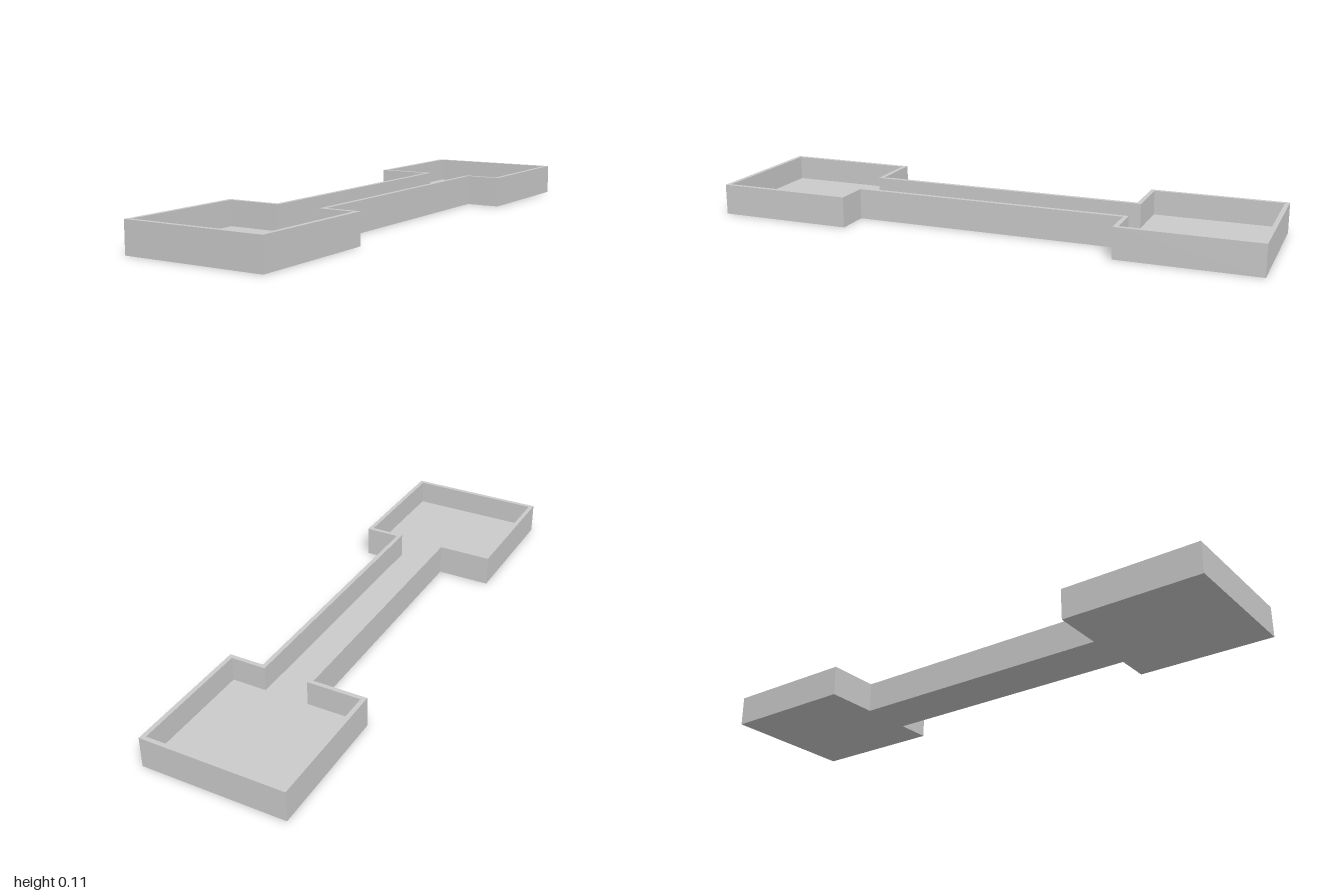
import * as THREE from 'three';

const HEIGHT = 0.112, FLOOR = 0.022, WALL = 0.016;

// Plan of two square rooms joined by an off-centre corridor, shrunk by t on every side
function plan(t) {
  const room = 0.261 - t, end = 1 - t, neck = 0.5 + t;
  const left = 0.132 - t, right = -0.063 + t;
  return [
    [-room, -end], [room, -end], [room, -neck], [left, -neck],
    [left, neck], [room, neck], [room, end], [-room, end],
    [-room, neck], [right, neck], [right, -neck], [-room, -neck],
  ].map(([x, z]) => new THREE.Vector2(x, z));
}

// Extrude a plan upward from the ground (the plan is the same front and back)
function slab(name, shape, depth, material) {
  const geometry = new THREE.ExtrudeGeometry(shape, { depth, bevelEnabled: false });
  geometry.rotateX(-Math.PI / 2);
  const mesh = new THREE.Mesh(geometry, material);
  mesh.name = name;
  return mesh;
}

export function createModel() {
  const group = new THREE.Group();
  group.name = 'corridorTray';
  const material = new THREE.MeshStandardMaterial({ color: 0xcccccc });

  // Thin wall following the whole outline
  const wallShape = new THREE.Shape(plan(0));
  wallShape.holes.push(new THREE.Path(plan(WALL)));
  group.add(slab('walls', wallShape, HEIGHT, material));

  // Floor plate inside the walls
  group.add(slab('floor', new THREE.Shape(plan(WALL)), FLOOR, material));

  return group;
}
